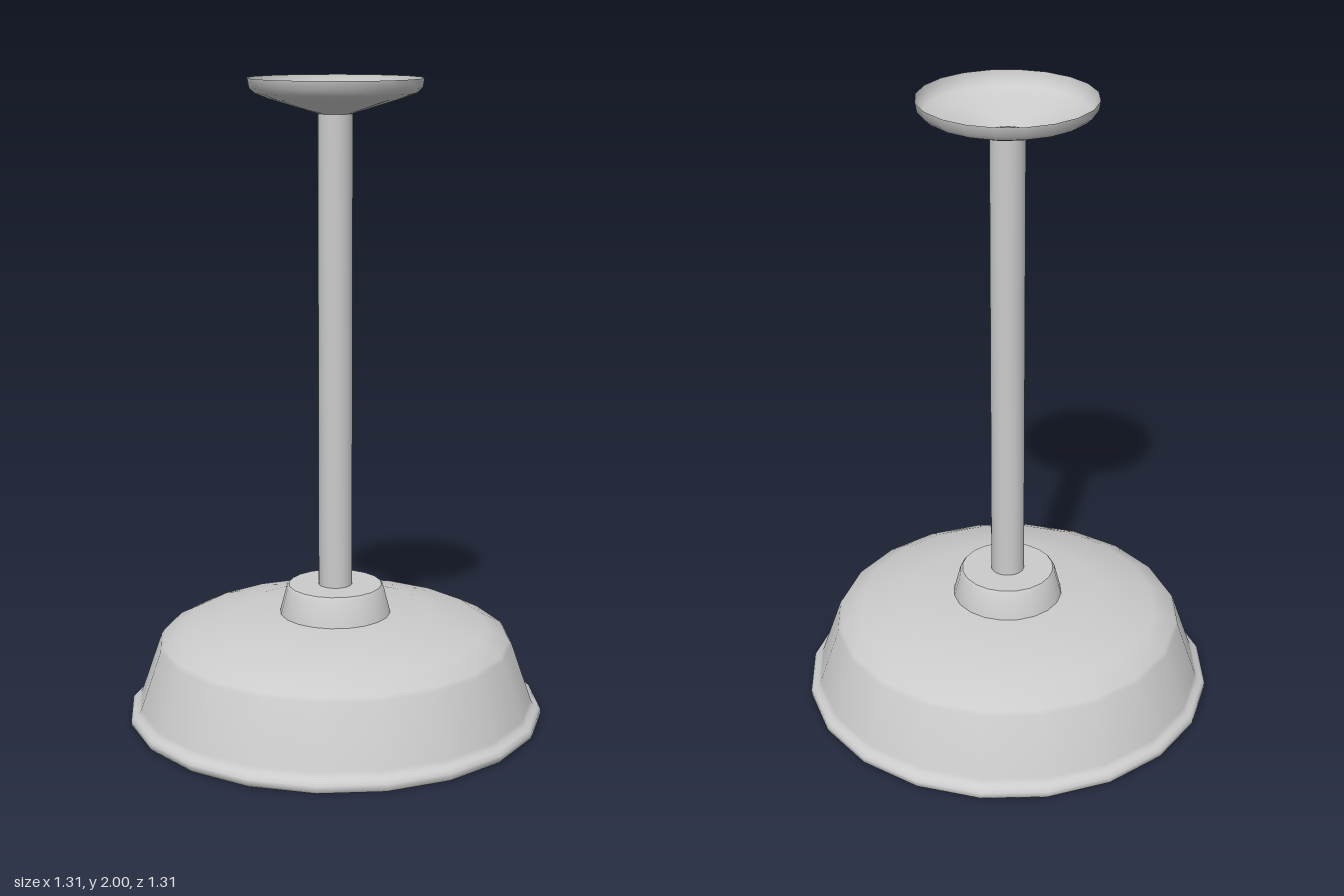
import * as THREE from 'three';
import { toCreasedNormals } from 'three/addons/utils/BufferGeometryUtils.js';

const material = new THREE.MeshStandardMaterial({ color: 0xcccccc, side: THREE.DoubleSide });

// Turned part from [radius, height] pairs listed bottom to top
function turned(name, profile, crease = 0.9) {
  const points = profile.map(([r, y]) => new THREE.Vector2(r, y));
  const geometry = toCreasedNormals(new THREE.LatheGeometry(points, 20), crease);
  const mesh = new THREE.Mesh(geometry, material);
  mesh.name = name;
  return mesh;
}

export function createModel() {
  const lamp = new THREE.Group();
  lamp.name = 'pendantLamp';

  // Wide shade: rolled rim, sloping wall, softened shoulder and flat top
  lamp.add(turned('shade', [
    [0.622, 0.01], [0.632, 0], [0.648, 0], [0.655, 0.008], [0.655, 0.024],
    [0.645, 0.034], [0.63, 0.04], [0.623, 0.055], [0.559, 0.241], [0.55, 0.254],
    [0.48, 0.29], [0.3, 0.333], [0, 0.333],
  ]));

  // Inner skin of the shade, giving it its thickness
  lamp.add(turned('shadeLining', [
    [0.622, 0.01], [0.54, 0.23], [0.46, 0.27], [0.29, 0.305], [0, 0.305],
  ]));

  // Tapered collar joining shade and rod
  lamp.add(turned('collar', [
    [0.175, 0.333], [0.154, 0.415], [0.147, 0.424], [0, 0.424],
  ]));

  // Hollow rod with a narrow lip at its upper end
  lamp.add(turned('rod', [[0.053, 0.42], [0.053, 1.897], [0.046, 1.897], [0.046, 0.43]]));

  // Open dish that meets the ceiling
  lamp.add(turned('ceilingDish', [
    [0.053, 1.894], [0.2, 1.939], [0.245, 1.956], [0.262, 1.972], [0.267, 2],
  ]));

  // Round bulb hanging inside the shade
  const bulb = [];
  for (let i = 0; i <= 10; i++) {
    const a = (i / 10) * Math.PI;
    bulb.push([0.133 * Math.sin(a), 0.16 - 0.133 * Math.cos(a)]);
  }
  lamp.add(turned('bulb', bulb));

  return lamp;
}
